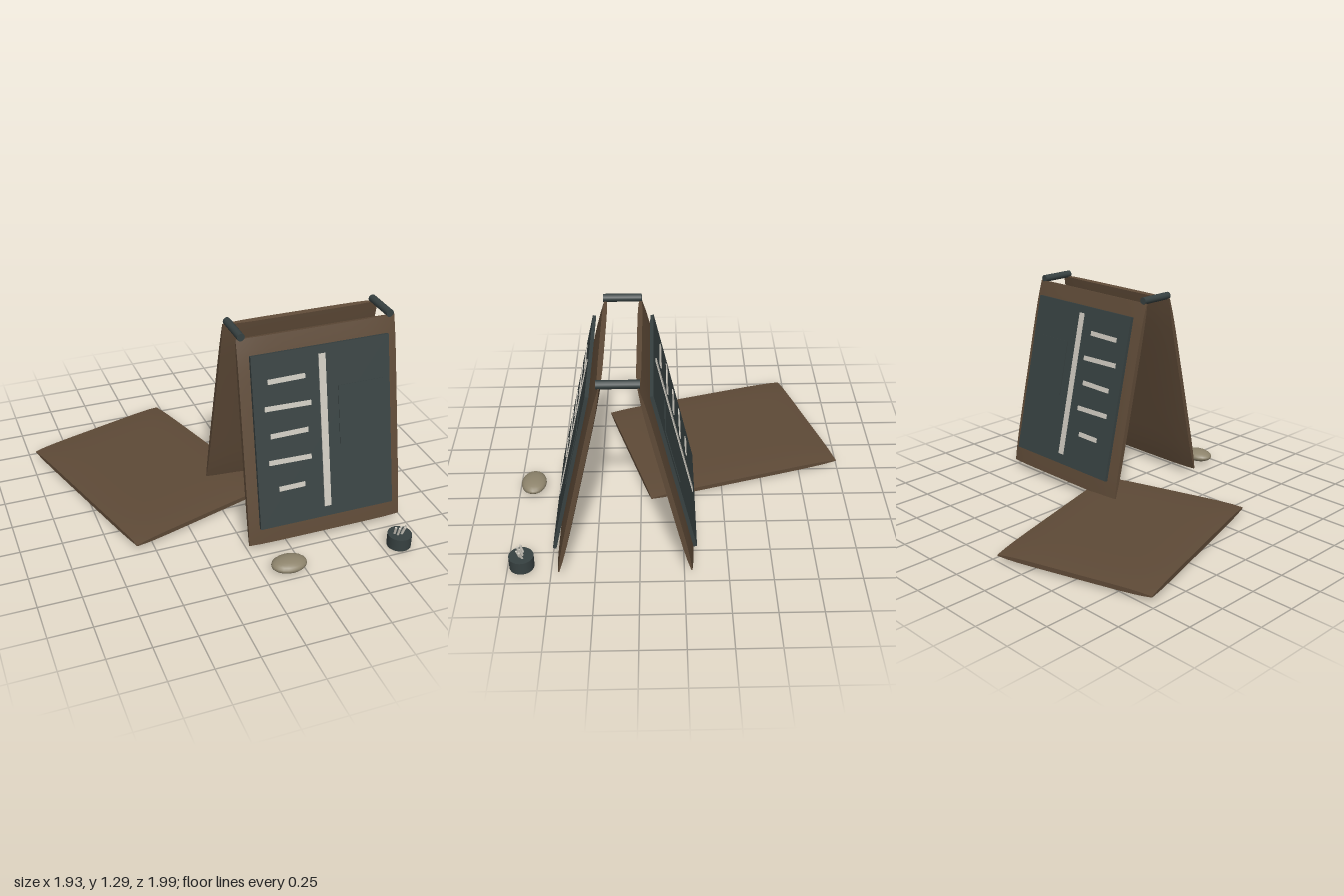
import * as THREE from 'three';

const mat = (name, color) => {
  const m = new THREE.MeshStandardMaterial({ color });
  m.name = name;
  return m;
};

export function createModel() {
  const wood = mat('brown wood', 0x5e4a37);
  const slate = mat('dark slate', 0x374141);
  const chalk = mat('chalk white', 0xcbc7bd);
  const stone = mat('tan stone', 0x8e846c);

  const model = new THREE.Group();
  model.name = 'sandwichBoardSet';

  const add = (parent, name, geometry, material, x, y, z) => {
    const mesh = new THREE.Mesh(geometry, material);
    mesh.name = name;
    mesh.position.set(x, y, z);
    parent.add(mesh);
    return mesh;
  };

  // Cushion-shaped board: thick in the middle, thinner at the edges, sharp at the corners
  const W = 0.965, H = 1.235;
  const boardGeometry = () => {
    const g = new THREE.BoxGeometry(W, H, 2, 16, 16, 1);
    const p = g.attributes.position;
    const bulge = (t) => 1 - Math.abs(t) ** 6;
    for (let i = 0; i < p.count; i++) {
      const u = p.getX(i) / (W / 2), v = p.getY(i) / (H / 2);
      p.setZ(i, Math.sign(p.getZ(i)) * (0.003 + 0.011 * (bulge(u) + bulge(v))));
    }
    g.computeVertexNormals();
    return g;
  };
  const board = boardGeometry();

  // Chalk lines on the slate: [centre x, height, length]
  const lines = [
    [0.263, 1.02, 0.225], [0.265, 0.866, 0.28], [0.265, 0.71, 0.23],
    [0.262, 0.553, 0.26], [0.265, 0.393, 0.16],
  ];
  const cx = 0.483, cy = 0.652, tilt = 0.222;
  const localY = (y) => (y - 0.664) / Math.cos(tilt);

  // Leaning panels, front (s = 1) and back (s = -1)
  for (const s of [1, -1]) {
    const panel = new THREE.Group();
    panel.name = s > 0 ? 'frontPanel' : 'backPanel';
    panel.position.set(cx, cy, 0.33 + s * 0.235);
    panel.rotation.x = -s * tilt;
    model.add(panel);

    add(panel, 'panelBoard', board, wood, 0, 0, 0);
    add(panel, 'slate', new THREE.BoxGeometry(0.84, 1.03, 0.02), slate, -0.003, 0.008, s * 0.045);
    add(panel, 'slateInset', new THREE.BoxGeometry(0.285, 0.35, 0.006), slate,
      0.717 - cx, localY(0.76), s * 0.056);
    add(panel, 'chalkDivider', new THREE.BoxGeometry(0.042, 0.92, 0.008), chalk,
      0.482 - cx, localY(0.68), s * 0.056);
    lines.forEach(([x, y, length], i) => {
      const line = add(panel, 'chalkLine', new THREE.BoxGeometry(length, 0.029, 0.008), chalk,
        x - cx, localY(y), s * 0.056);
      line.rotation.z = i % 2 ? -0.02 : 0.012;
    });
  }

  // Hinge bars joining the panels at the top
  for (const x of [0.028, 0.933]) {
    const hinge = add(model, 'hingeBar', new THREE.CylinderGeometry(0.023, 0.023, 0.22, 12),
      slate, x, 1.268, 0.333);
    hinge.rotation.x = Math.PI / 2;
  }

  // Loose board lying on the ground
  const loose = new THREE.Group();
  loose.name = 'looseBoard';
  loose.position.set(-0.32, 0.036, -0.265);
  loose.rotation.y = 0.293;
  model.add(loose);
  add(loose, 'groundBoard', board, wood, 0, 0, 0).rotation.x = -Math.PI / 2;

  // Flat pebble
  const pebble = add(model, 'pebble', new THREE.SphereGeometry(1, 20, 12), stone, 0.158, 0.045, 0.915);
  pebble.scale.set(0.106, 0.037, 0.077);

  // Round pot with chalk sticks
  add(model, 'chalkPot', new THREE.CylinderGeometry(0.071, 0.071, 0.078, 24), slate, 0.857, 0.039, 0.92);
  for (let i = 0; i < 5; i++) {
    const t = i - 2;
    const stick = add(model, 'chalkStick', new THREE.CylinderGeometry(0.007, 0.007, 0.08, 8), chalk,
      0.855 + t * 0.014, 0.09, 0.918 + (i % 2 ? 0.012 : -0.004));
    stick.rotation.set(0.25, 0, -0.12 - t * 0.07);
  }

  return model;
}
